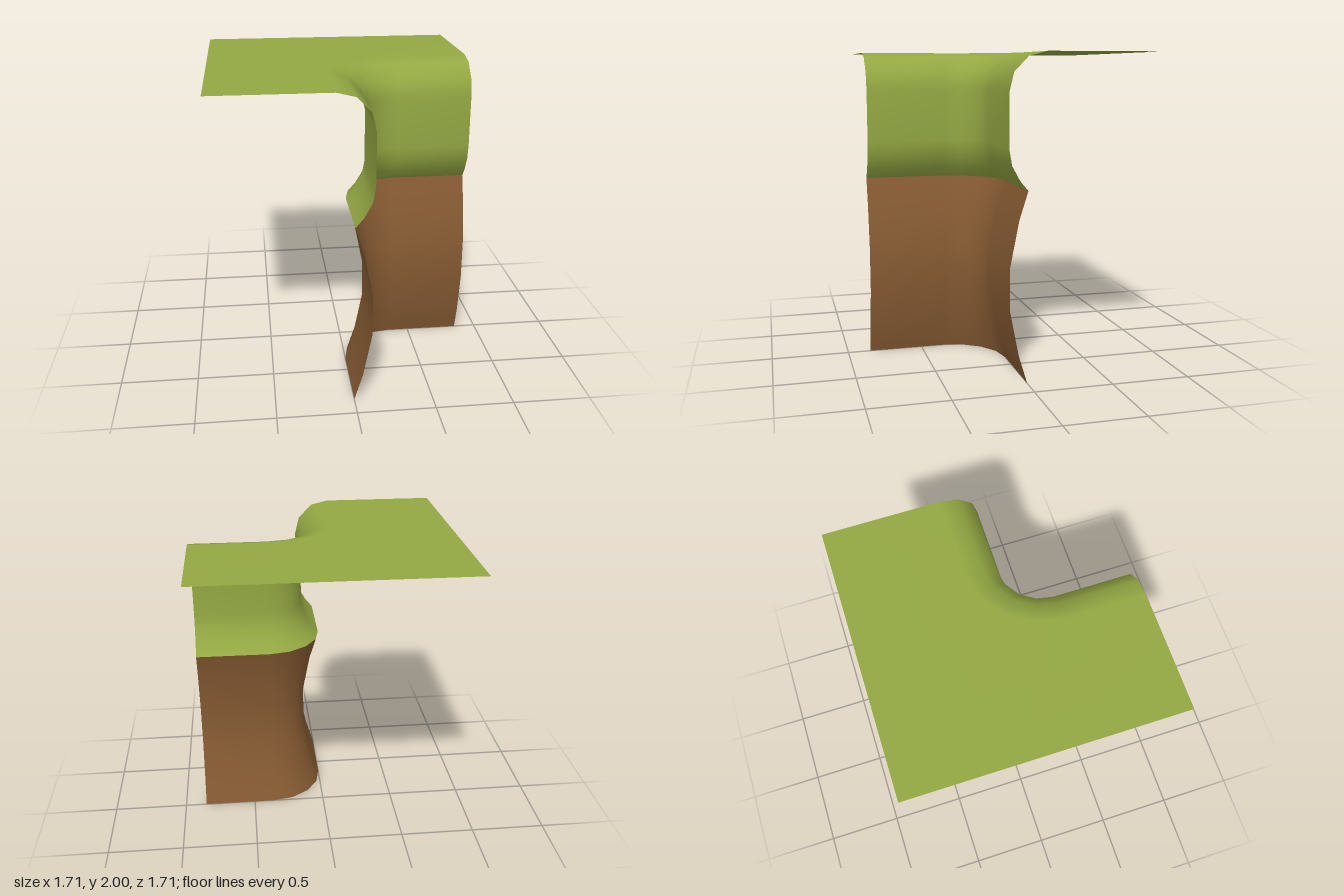
import * as THREE from 'three';

const HALF = 0.853;   // half width of the square tile
const BEND = 0.36;    // centre of the rounded inner corner, in x and z
const ARC_STEPS = 4;

// Stations along the L-shaped wall: a straight run, a quarter bend, a straight run.
const stations = [{ x: BEND, z: HALF, angle: 0 }];
for (let i = 0; i <= ARC_STEPS; i++) {
  stations.push({ x: BEND, z: BEND, angle: (i / ARC_STEPS) * Math.PI / 2 });
}
stations.push({ x: HALF, z: BEND, angle: Math.PI / 2 });

// Sweeps a profile of [offset, height] points along the stations.
// The offset 'rim' reaches out to the square border of the tile.
function sweep(name, profile, color) {
  const positions = [];
  const indices = [];
  const rows = profile.length;
  stations.forEach(({ x, z, angle }, i) => {
    const c = Math.cos(angle);
    const s = Math.sin(angle);
    profile.forEach(([offset, y], j) => {
      const reach = offset === 'rim' ? (BEND + HALF) / Math.max(c, s) : BEND - offset;
      positions.push(x - c * reach, y, z - s * reach);
      if (i < stations.length - 1 && j < rows - 1) {
        const a = i * rows + j;
        const b = a + rows;
        indices.push(a, b, b + 1, a, b + 1, a + 1);
      }
    });
  });
  const geometry = new THREE.BufferGeometry();
  geometry.setAttribute('position', new THREE.Float32BufferAttribute(positions, 3));
  geometry.setIndex(indices);
  geometry.computeVertexNormals();
  const material = new THREE.MeshStandardMaterial({ color, side: THREE.DoubleSide });
  const mesh = new THREE.Mesh(geometry, material);
  mesh.name = name;
  return mesh;
}

export function createModel() {
  const group = new THREE.Group();
  group.name = 'cliffInnerCorner';

  // Earth wall, bulging forward at mid height
  group.add(sweep('earthWall', [
    [0, 0], [0.055, 0.18], [0.11, 0.46], [0.11, 0.73], [0.055, 1.01], [0, 1.185],
  ], 0x875b33));

  // Grass overhang rolling over the lip into the flat top
  group.add(sweep('grassTop', [
    [0, 1.185], [0.05, 1.245], [0.1, 1.335], [0.118, 1.435], [0.118, 1.765],
    [0.09, 1.88], [0, 1.972], [-0.115, 2], ['rim', 2],
  ], 0x94a843));

  return group;
}
